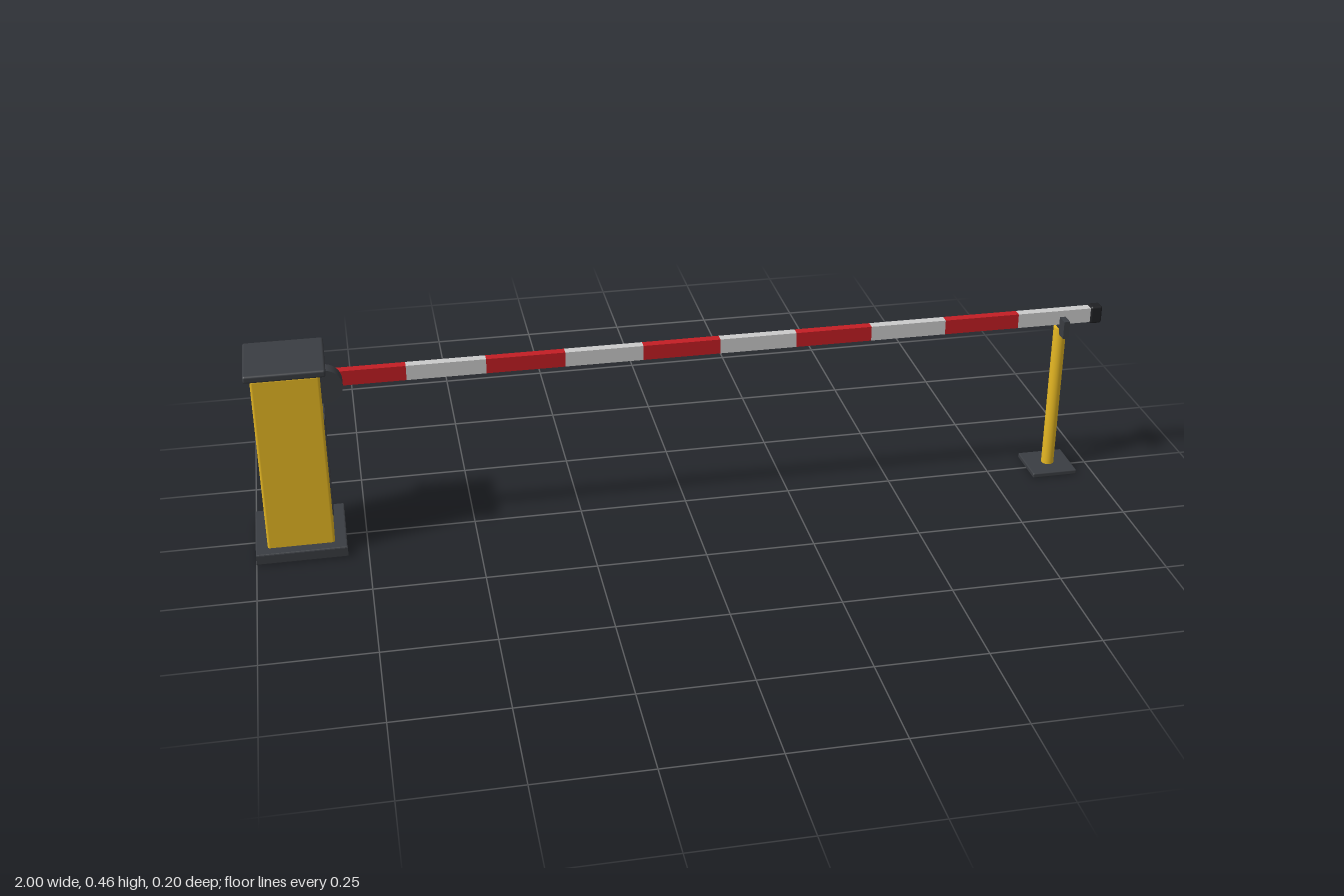
import * as THREE from 'three';
import { RoundedBoxGeometry } from 'three/addons/geometries/RoundedBoxGeometry.js';

const mat = (color) => new THREE.MeshStandardMaterial({ color });

export function createModel() {
  const group = new THREE.Group();
  const yellow = mat(0xe8b923), dark = mat(0x3a3d42), black = mat(0x1f2023);
  const red = mat(0xc41e24), white = mat(0xececec);

  const add = (name, geometry, material, x, y, z) => {
    const mesh = new THREE.Mesh(geometry, material);
    mesh.name = name;
    mesh.position.set(x, y, z);
    group.add(mesh);
    return mesh;
  };
  const box = (name, material, [w, h, d], [x, y, z], r = 0) =>
    add(name, r ? new RoundedBoxGeometry(w, h, d, 2, r) : new THREE.BoxGeometry(w, h, d), material, x, y, z);

  const cabX = -0.898, armY = 0.403, postX = 0.903;

  // Base plinth: a square frame, open underneath up to the cabinet floor
  const square = (path, s) => path.moveTo(-s, -s).lineTo(s, -s).lineTo(s, s).lineTo(-s, s).closePath();
  const plinth = square(new THREE.Shape(), 0.099);
  plinth.holes.push(square(new THREE.Path(), 0.072));
  const plinthGeo = new THREE.ExtrudeGeometry(plinth, {
    depth: 0.02, bevelThickness: 0.003, bevelSize: 0.003, bevelSegments: 2,
  });
  plinthGeo.rotateX(-Math.PI / 2);
  add('basePlinth', plinthGeo, dark, cabX, 0.003, 0);

  // Cabinet with lid, door panel and arm pivot
  box('cabinet', yellow, [0.15, 0.433, 0.15], [cabX, 0.2285, 0], 0.006);
  box('cabinetLid', dark, [0.177, 0.017, 0.177], [cabX, 0.4545, 0], 0.005);
  box('doorPanel', dark, [0.006, 0.245, 0.098], [-0.823, 0.2025, 0]);
  const hub = add('pivotHub', new THREE.CylinderGeometry(0.04, 0.04, 0.034, 32), dark, -0.815, 0.402, 0.028);
  hub.rotation.x = Math.PI / 2;

  // Striped arm: alternating red and white sections
  const start = -0.813, step = 0.1785;
  for (let i = 0; i < 10; i++) {
    const isRed = i % 2 === 0;
    box(isRed ? 'armRedSection' : 'armWhiteSection', isRed ? red : white,
      [step, 0.035, 0.021], [start + step * (i + 0.5), armY, 0]);
  }
  box('armEndCap', black, [0.028, 0.043, 0.027], [0.986, armY, 0], 0.005);

  // Rest post with foot plate and forked cradle
  box('postFoot', dark, [0.11, 0.012, 0.11], [postX, 0.006, 0], 0.003);
  add('restPost', new THREE.CylinderGeometry(0.015, 0.015, 0.365, 24), yellow, postX, 0.1925, 0);
  box('cradleBridge', dark, [0.014, 0.023, 0.082], [postX, 0.3735, 0]);
  for (const side of [-1, 1]) {
    box('cradleProng', dark, [0.014, 0.043, 0.03], [postX, 0.3835, side * 0.026]);
  }

  return group;
}
